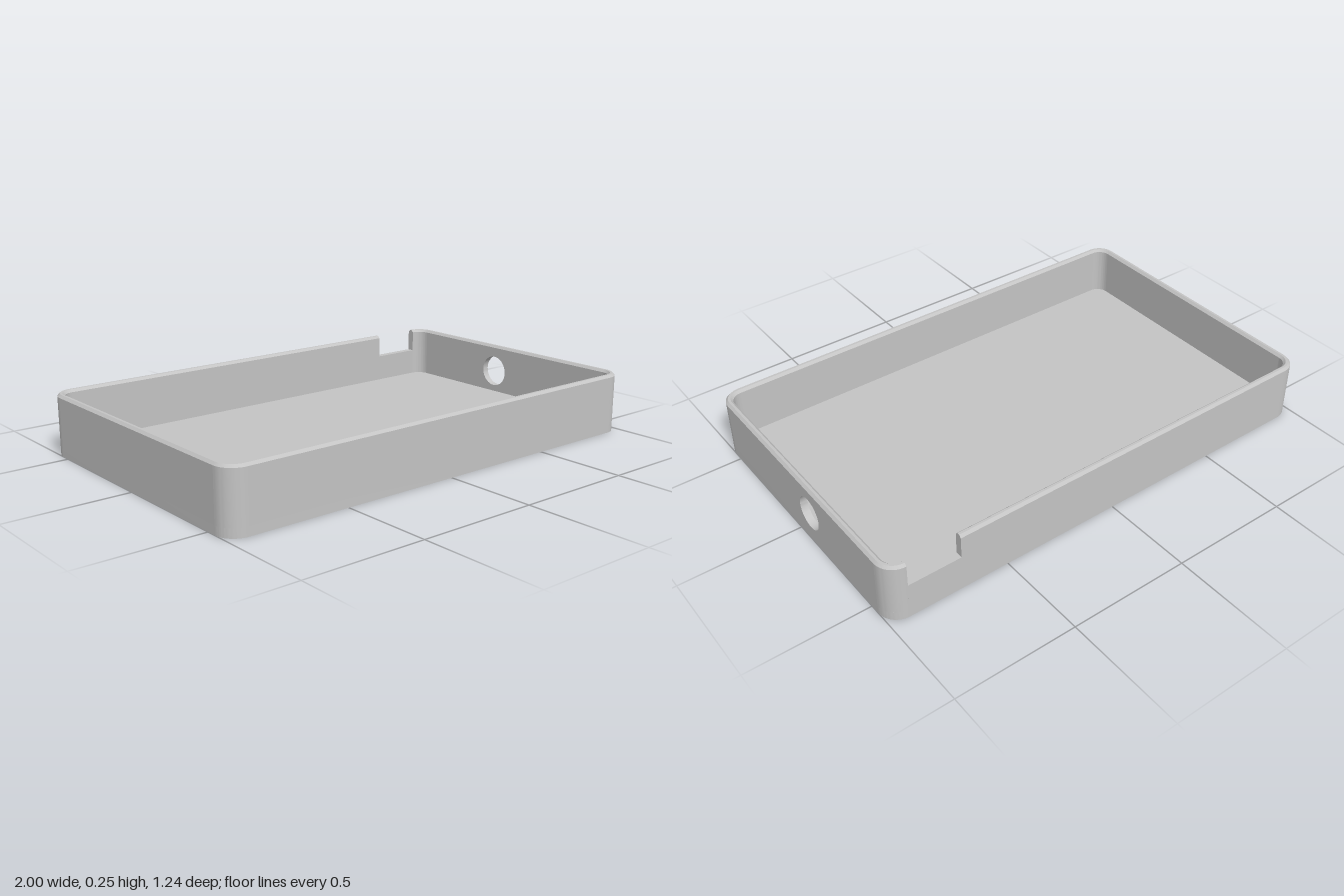
import * as THREE from 'three';
import { toCreasedNormals } from 'three/addons/utils/BufferGeometryUtils.js';

const W = 1, D = 0.62, H = 0.25;          // half width, half depth, height
const R = 0.08, T = 0.03, C = 0.01;       // corner radius, wall thickness, rim chamfer
const FLOOR = 0.035;
const NOTCH = { from: 0.7, to: W - R, y: 0.15 };
const HOLE = { z: -0.085, y: 0.13, r: 0.068 };
const SEG = 16;

const toShape = pts => new THREE.Shape(pts.map(([x, y]) => new THREE.Vector2(x, y)));

// Wall cross-sections: x runs from the inner to the outer face
const rimPoints = [[T, H - C], [T - C, H], [C, H], [0, H - C]];
const fullProfile = [[0, FLOOR], [T, FLOOR], ...rimPoints];
const notchProfile = [[0, FLOOR], [T, FLOOR], [T, NOTCH.y], [0, NOTCH.y]];

export function createModel() {
  const group = new THREE.Group();
  const grey = new THREE.MeshStandardMaterial({ color: 0xc4c4c4 });
  grey.name = 'light grey';

  const add = (name, geometry) => {
    const mesh = new THREE.Mesh(toCreasedNormals(geometry, 0.5), grey);
    mesh.name = name;
    group.add(mesh);
    return mesh;
  };

  // Straight wall run: profile swept along one side, facing outwards at the given angle
  const wall = (name, profile, angle, halfSpan, from, to) => {
    const geo = new THREE.ExtrudeGeometry(toShape(profile), { depth: to - from, bevelEnabled: false });
    geo.translate(halfSpan - T, 0, from);
    geo.rotateY(angle);
    return add(name, geo);
  };

  // Floor plate with rounded corners
  const x = W - R, z = D - R;
  const plate = new THREE.Shape();
  plate.absarc(x, z, R, 0, Math.PI / 2);
  plate.absarc(-x, z, R, Math.PI / 2, Math.PI);
  plate.absarc(-x, -z, R, Math.PI, Math.PI * 1.5);
  plate.absarc(x, -z, R, Math.PI * 1.5, Math.PI * 2);
  plate.closePath();
  const floor = new THREE.ExtrudeGeometry(plate, { depth: FLOOR, bevelEnabled: false, curveSegments: SEG });
  floor.rotateX(-Math.PI / 2);
  add('floor', floor);

  // Rounded corner walls
  const cornerProfile = [...fullProfile, fullProfile[0]].map(([r, y]) => new THREE.Vector2(R - T + r, y));
  [[x, z], [x, -z], [-x, -z], [-x, z]].forEach(([cx, cz], i) => {
    const geo = new THREE.LatheGeometry(cornerProfile, SEG, i * Math.PI / 2, Math.PI / 2);
    add('cornerWall', geo).position.set(cx, 0, cz);
  });

  // Plain walls
  wall('frontWall', fullProfile, -Math.PI / 2, D, -x, x);
  wall('plainEndWall', fullProfile, Math.PI, W, -z, z);

  // Back wall with a notch cut down beside the corner
  wall('backWall', fullProfile, Math.PI / 2, D, -x, NOTCH.from);
  wall('notchSill', notchProfile, Math.PI / 2, D, NOTCH.from, NOTCH.to);
  wall('notchEndFace', fullProfile, Math.PI / 2, D, NOTCH.to, NOTCH.to + 0.001);

  // End wall with a round port, topped by its chamfered rim
  const panel = toShape([[-z, FLOOR], [z, FLOOR], [z, H - C], [-z, H - C]]);
  const port = new THREE.Path();
  port.absarc(-HOLE.z, HOLE.y, HOLE.r, 0, Math.PI * 2, true);
  panel.holes.push(port);
  const panelGeo = new THREE.ExtrudeGeometry(panel, { depth: T, bevelEnabled: false, curveSegments: 24 });
  panelGeo.rotateY(Math.PI / 2);
  panelGeo.translate(W - T, 0, 0);
  add('portWall', panelGeo);
  wall('portWallRim', rimPoints, 0, W, -z, z);

  return group;
}
